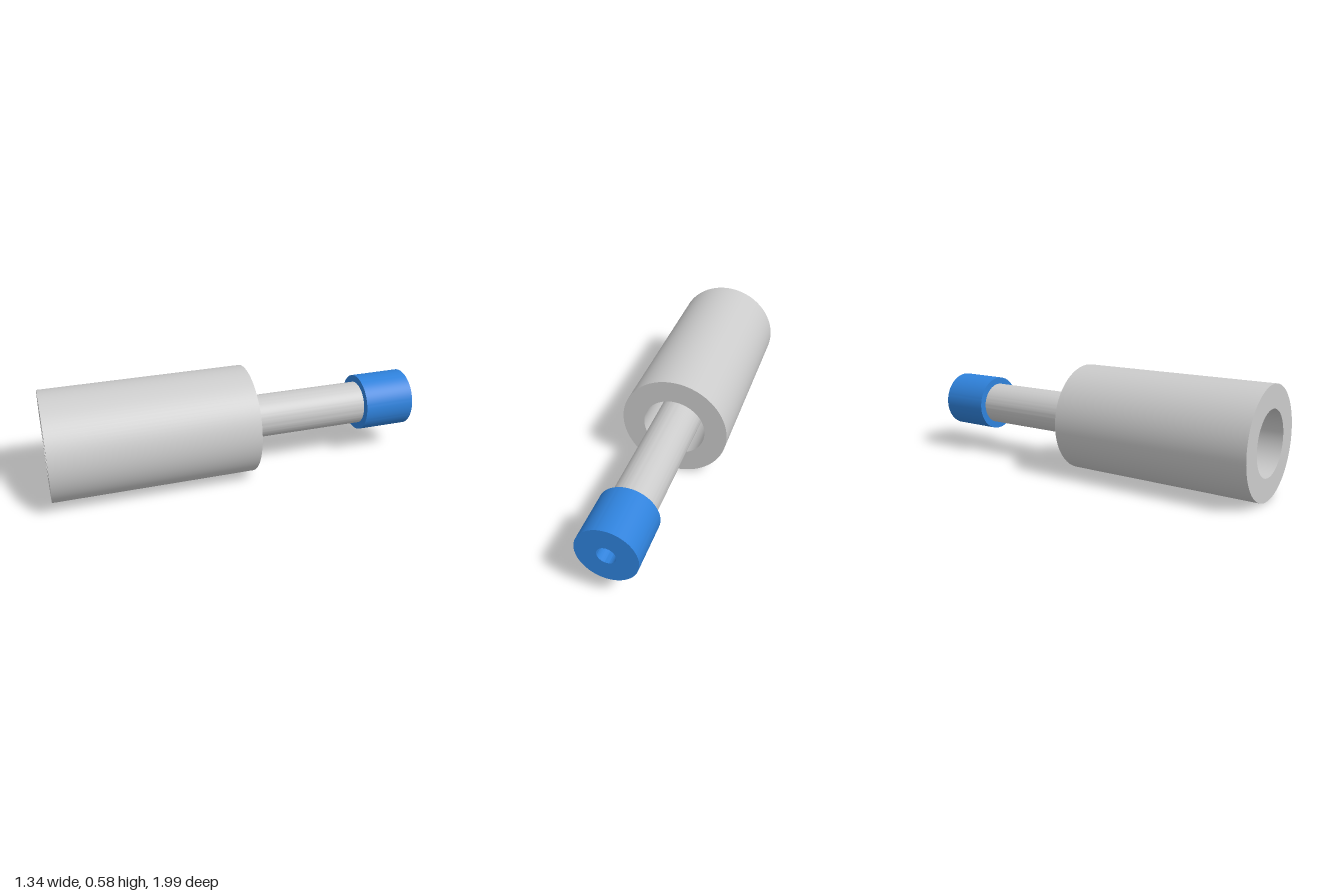
import * as THREE from 'three';
import { toCreasedNormals } from 'three/addons/utils/BufferGeometryUtils.js';

const AXIS_HEIGHT = 0.293;
const YAW = THREE.MathUtils.degToRad(-28);

// Turned part between two stations on the axis; inner = 0 makes it solid
function turned(name, outer, inner, from, to, material) {
  const profile = [[inner, from], [outer, from], [outer, to], [inner, to]];
  if (inner > 0) profile.push([inner, from]);
  const points = profile.map(([r, y]) => new THREE.Vector2(r, y));
  const geometry = toCreasedNormals(new THREE.LatheGeometry(points, 96), Math.PI / 6);
  const mesh = new THREE.Mesh(geometry, material);
  mesh.name = name;
  return mesh;
}

export function createModel() {
  const grey = new THREE.MeshStandardMaterial({ color: 0xcccccc });
  const blue = new THREE.MeshStandardMaterial({ color: 0x2f82dc });

  // All parts share one axis, built along y and then laid down
  const assembly = new THREE.Group();
  assembly.name = 'assembly';
  assembly.add(
    turned('sleeve', 0.291, 0.17, -0.953, 0.128, grey), // bored through
    turned('rod', 0.117, 0, -0.25, 0.8, grey), // slides inside the sleeve
    turned('endCap', 0.155, 0.047, 0.79, 1.068, blue) // with centre hole
  );
  assembly.rotation.set(-Math.PI / 2, YAW, 0, 'YXZ');
  assembly.position.set(0.03, AXIS_HEIGHT, 0.016);

  const model = new THREE.Group();
  model.name = 'plunger';
  model.add(assembly);
  return model;
}
